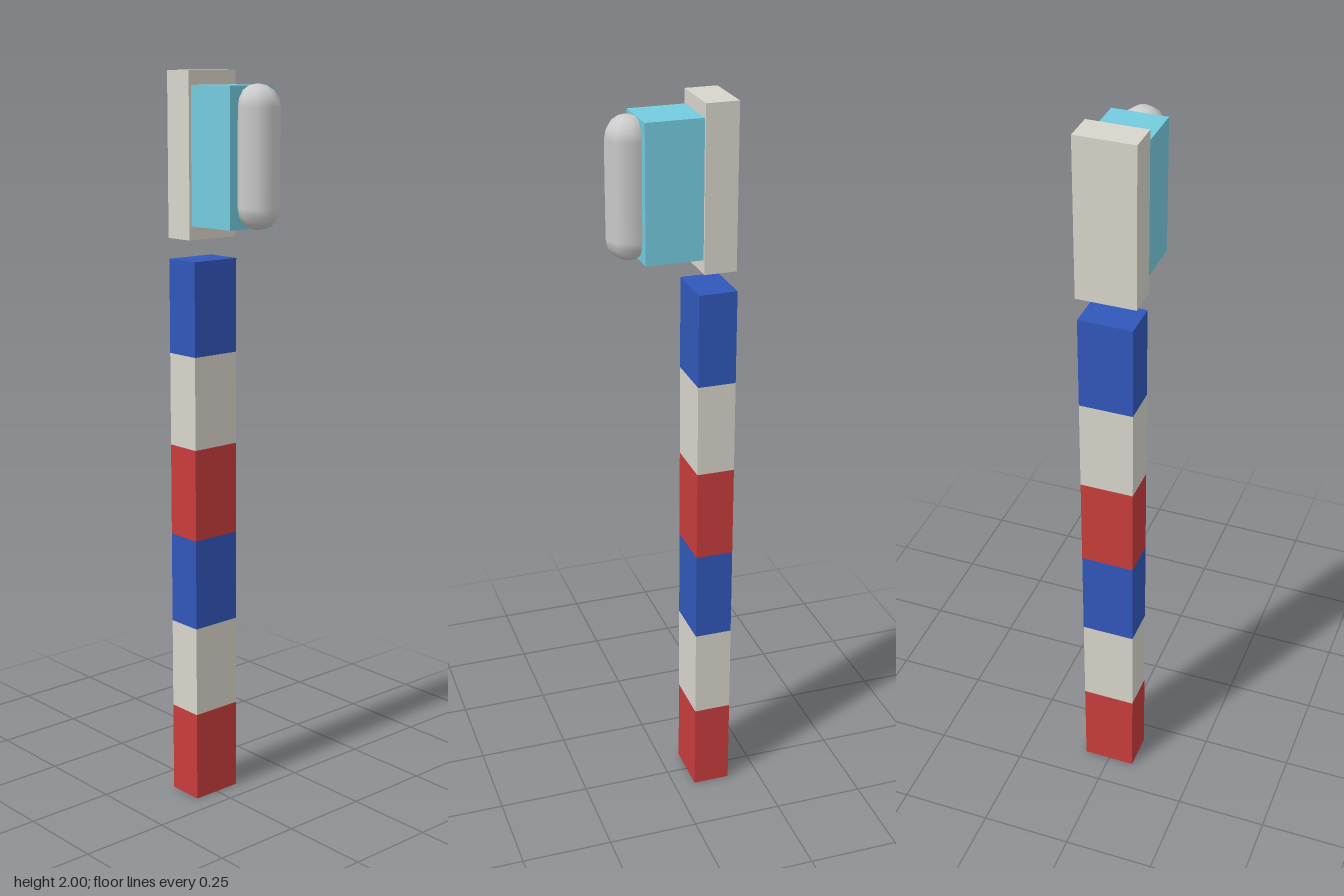
import * as THREE from 'three';

const mat = (color) => new THREE.MeshStandardMaterial({ color });

export function createModel() {
  const model = new THREE.Group();
  const cream = mat(0xd8d5cb);
  const red = mat(0xc83c3c);
  const blue = mat(0x3157ba);
  const cyan = mat(0x74cbdf);
  const grey = mat(0xcccccc);

  const add = (name, geometry, material, x, y, z) => {
    const mesh = new THREE.Mesh(geometry, material);
    mesh.name = name;
    mesh.position.set(x, y, z);
    model.add(mesh);
  };

  // Striped post: six stacked blocks
  const step = 1.514 / 6;
  const stripes = [red, cream, blue];
  for (let i = 0; i < 6; i++) {
    add('postStripe' + (i + 1), new THREE.BoxGeometry(0.145, step, 0.103),
      stripes[i % 3], 0, step * (i + 0.5), -0.1105);
  }

  // Backing plate floating above the post
  add('backPlate', new THREE.BoxGeometry(0.159, 0.43, 0.086), cream, 0, 1.785, -0.113);

  // Block standing forward of the plate
  add('frontBlock', new THREE.BoxGeometry(0.145, 0.357, 0.151), cyan, 0, 1.785, 0.0055);

  // Rounded capsule on the block's face
  add('capsule', new THREE.CapsuleGeometry(0.057, 0.25, 4, 8), grey, 0, 1.787, 0.104);

  return model;
}
